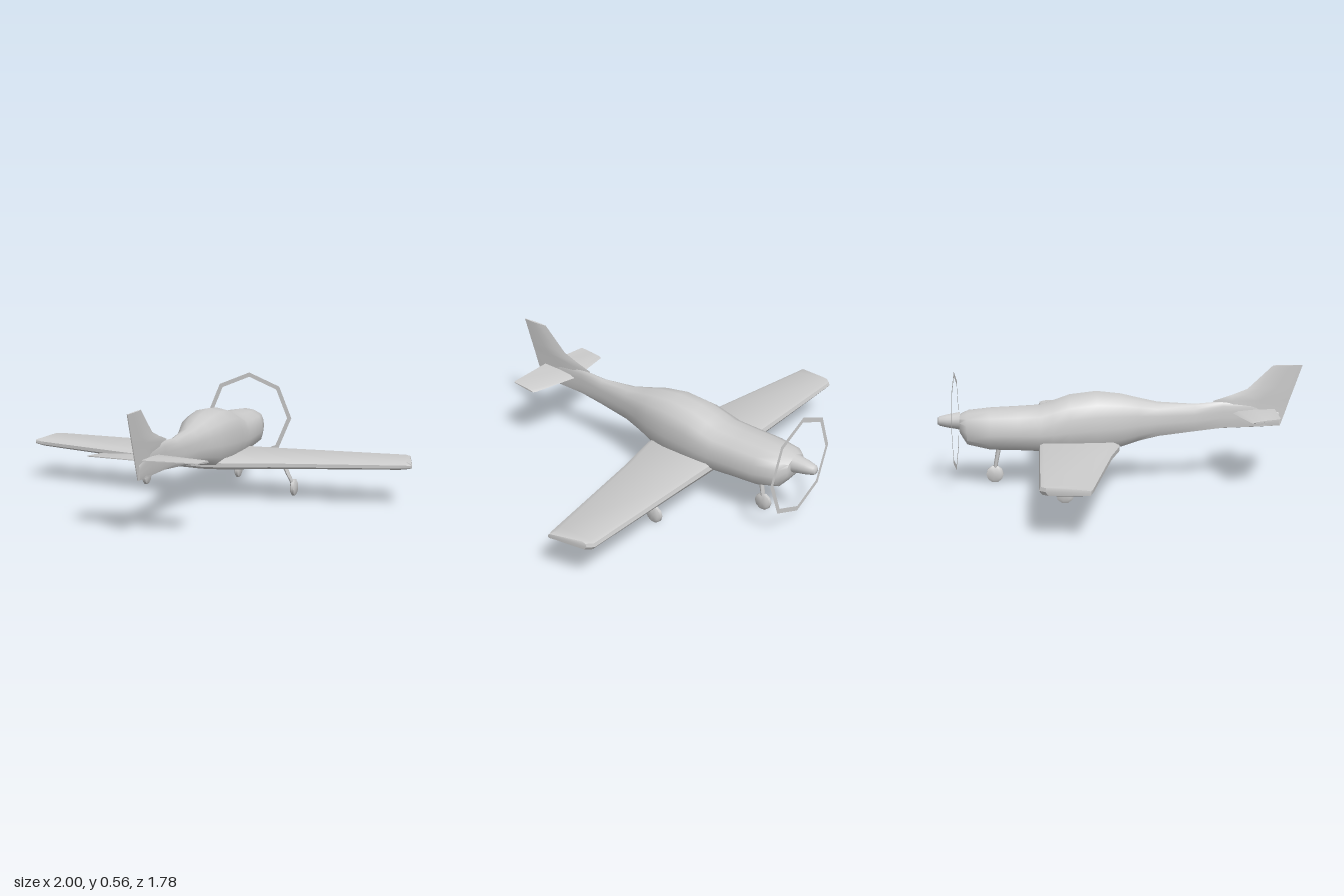
import * as THREE from 'three';
import { toCreasedNormals } from 'three/addons/utils/BufferGeometryUtils.js';

const material = new THREE.MeshStandardMaterial({ color: 0xcccccc });
const thinMaterial = new THREE.MeshStandardMaterial({ color: 0xcccccc, side: THREE.DoubleSide });

// Skin a closed solid over rings of [x, y, z] points, capped at both ends.
function loft(rings, crease) {
  const n = rings[0].length, last = rings.length - 1;
  const tris = [];
  for (let r = 0; r < last; r++) {
    for (let i = 0; i < n; i++) {
      const j = (i + 1) % n;
      const a = rings[r][i], b = rings[r][j], c = rings[r + 1][j], d = rings[r + 1][i];
      tris.push([a, b, c], [a, c, d]);
    }
  }
  const centre = ring => [0, 1, 2].map(k => ring.reduce((s, p) => s + p[k], 0) / n);
  const c0 = centre(rings[0]), c1 = centre(rings[last]);
  for (let i = 0; i < n; i++) {
    const j = (i + 1) % n;
    tris.push([c0, rings[0][j], rings[0][i]], [c1, rings[last][i], rings[last][j]]);
  }
  // Turn every face outwards, using the sign of the enclosed volume
  const v = p => new THREE.Vector3(...p);
  const volume = tris.reduce((s, [a, b, c]) => s + v(a).dot(v(b).cross(v(c))), 0);
  const flat = tris.flatMap(t => (volume < 0 ? [t[0], t[2], t[1]] : t)).flat();
  const geo = new THREE.BufferGeometry();
  geo.setAttribute('position', new THREE.Float32BufferAttribute(flat, 3));
  return toCreasedNormals(geo, crease);
}

function part(name, geo, mat = material) {
  const mesh = new THREE.Mesh(geo, mat);
  mesh.name = name;
  return mesh;
}

function fuselage() {
  // Right half of the section: width and height fractions, top to bottom
  const half = [[0, 1], [0.48, 0.95], [0.85, 0.82], [0.97, 0.62], [1, 0.4], [0.95, 0.17], [0.68, 0.02], [0, 0]];
  const section = [...half, ...half.slice(1, -1).reverse().map(([x, y]) => [-x, y])];
  // Stations: z, bottom, top, half width
  const stations = [
    [-0.776, 0.265, 0.35, 0.07], [-0.74, 0.212, 0.368, 0.105], [-0.63, 0.188, 0.379, 0.129],
    [-0.5, 0.184, 0.384, 0.135], [-0.39, 0.178, 0.39, 0.139], [-0.33, 0.17, 0.412, 0.14],
    [-0.25, 0.166, 0.44, 0.139], [-0.12, 0.17, 0.455, 0.133], [0, 0.19, 0.441, 0.112],
    [0.08, 0.213, 0.421, 0.088], [0.18, 0.232, 0.398, 0.058], [0.36, 0.249, 0.385, 0.029],
    [0.5, 0.262, 0.395, 0.014], [0.64, 0.265, 0.39, 0.01], [0.78, 0.27, 0.34, 0.007]];
  return part('fuselage', loft(
    stations.map(([z, b, t, w]) => section.map(([x, y]) => [x * w, b + y * (t - b), z])), 0.9));
}

function wing() {
  // Stations along the left half: x, leading z, trailing z, bottom, top
  const left = [
    [0, -0.4, -0.005, 0.165, 0.228], [0.12, -0.4, -0.015, 0.167, 0.228],
    [0.33, -0.4, -0.066, 0.176, 0.229], [0.94, -0.4, -0.178, 0.192, 0.235],
    [0.965, -0.375, -0.183, 0.194, 0.235], [1, -0.2, -0.19, 0.204, 0.225]];
  const right = left.slice(1).reverse().map(([x, ...s]) => [-x, ...s]);
  const rings = [...right, ...left].map(([x, l, t, b, u]) => {
    const c = t - l, y = f => b + f * (u - b), e = Math.min(0.015, c * 0.2);
    return [[x, y(0.5), l], [x, y(0.88), l + e * 0.4], [x, u, l + e * 1.6],
      [x, y(0.92), t - e * 2], [x, y(0.6), t], [x, y(0.25), t],
      [x, y(0.05), t - e], [x, b, l + c * 0.45], [x, y(0.1), l + e]];
  });
  return part('wing', loft(rings, 0.6));
}

function tailplane() {
  // Stations: x, leading z, trailing z, half thickness
  const left = [[0, 0.547, 0.757, 0.009], [0.25, 0.597, 0.737, 0.006], [0.257, 0.605, 0.733, 0.004]];
  const right = left.slice(1).reverse().map(([x, ...s]) => [-x, ...s]);
  const rings = [...right, ...left].map(([x, l, t, h]) => {
    const at = (f, dy) => [x, 0.336 + 0.016 * f + dy, l + f * (t - l)];
    return [at(0, 0), at(0.12, h), at(0.5, h), at(1, 0.002), at(1, -0.002), at(0.5, -h), at(0.12, -h)];
  });
  return part('tailplane', loft(rings, 0.5));
}

function fin() {
  // Levels: y, front z, rear z, half thickness
  const levels = [
    [0.27, 0.6, 0.785, 0.007], [0.34, 0.5, 0.81, 0.008], [0.397, 0.45, 0.829, 0.008],
    [0.425, 0.54, 0.839, 0.008], [0.455, 0.62, 0.85, 0.007], [0.57, 0.745, 0.89, 0.005]];
  const rings = levels.map(([y, f, r, h]) => {
    const z = k => f + k * (r - f);
    return [[0, y, z(0)], [h, y, z(0.25)], [h, y, z(0.6)], [0.002, y, r],
      [-0.002, y, r], [-h, y, z(0.6)], [-h, y, z(0.25)]];
  });
  return part('fin', loft(rings, 0.6));
}

function propeller() {
  const group = new THREE.Group();
  group.name = 'propeller';
  const profile = [[0.044, 0], [0.038, 0.03], [0.033, 0.06], [0.023, 0.1], [0.016, 0.109], [0, 0.111]];
  const spinner = new THREE.LatheGeometry(profile.map(p => new THREE.Vector2(...p)), 16).rotateX(-Math.PI / 2);
  const nose = part('spinner', spinner);
  nose.position.set(0, 0.317, -0.775);
  // Thin eight-sided ring marking the blade sweep
  const ring = part('propellerRing', new THREE.RingGeometry(0.218, 0.242, 8, 1, Math.PI / 2), thinMaterial);
  ring.position.set(0, 0.315, -0.8);
  group.add(nose, ring);
  return group;
}

// Tapered oval leg through points of [x, y, z, half width, half depth]
function leg(points) {
  return part('strut', loft(points.map(([x, y, z, w, d]) =>
    Array.from({ length: 8 }, (_, i) => {
      const a = i * Math.PI / 4;
      return [x + w * Math.cos(a), y, z + d * Math.sin(a)];
    })), 0.9));
}

function gear(name, x, z, strutPoints) {
  const group = new THREE.Group();
  group.name = name;
  const tyre = [[0, -0.014], [0.03, -0.014], [0.042, -0.007], [0.042, 0.007], [0.03, 0.014], [0, 0.014]];
  const wheelGeo = toCreasedNormals(
    new THREE.LatheGeometry(tyre.map(p => new THREE.Vector2(...p)), 10).rotateZ(Math.PI / 2), 0.7);
  const wheel = part('wheel', wheelGeo);
  wheel.position.set(x, 0.05, z);
  group.add(leg(strutPoints), wheel);
  return group;
}

export function createModel() {
  const model = new THREE.Group();
  model.name = 'lightAircraft';
  model.add(fuselage(), wing(), tailplane(), fin(), propeller());
  // Main legs splay outwards to their wheels
  for (const s of [1, -1]) {
    model.add(gear(s > 0 ? 'leftMainGear' : 'rightMainGear', s * 0.4, -0.283, [
      [s * 0.345, 0.19, -0.253, 0.012, 0.024], [s * 0.375, 0.12, -0.259, 0.01, 0.018],
      [s * 0.39, 0.088, -0.265, 0.009, 0.015], [s * 0.396, 0.05, -0.28, 0.008, 0.012]]));
  }
  model.add(gear('noseGear', 0, -0.615, [
    [0, 0.2, -0.59, 0.013, 0.012], [0, 0.1, -0.61, 0.012, 0.01], [0, 0.05, -0.615, 0.012, 0.01]]));
  return model;
}
